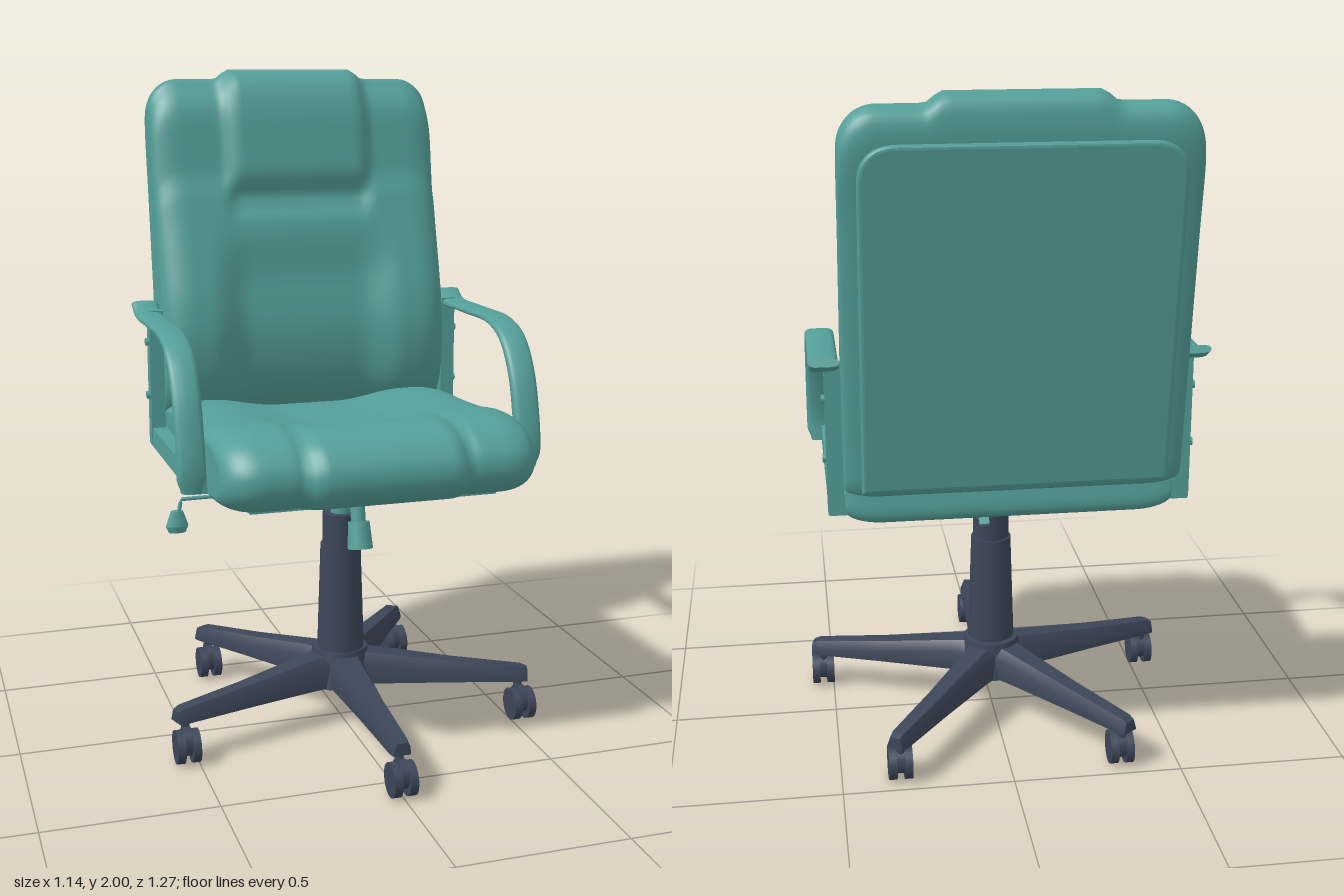
import * as THREE from 'three';
import { toCreasedNormals } from 'three/addons/utils/BufferGeometryUtils.js';

const V = (x, y, z) => new THREE.Vector3(x, y, z);
const smooth = THREE.MathUtils.smoothstep;

// Skin over a row of closed cross-sections, capped at both ends, faces turned outward
function loft(sections, crease) {
  const n = sections[0].length, pos = [], idx = [];
  sections.forEach(s => s.forEach(p => pos.push(p.x, p.y, p.z)));
  for (let i = 0; i < sections.length - 1; i++) for (let j = 0; j < n; j++) {
    const a = i * n + j, b = i * n + (j + 1) % n;
    idx.push(a, b, a + n, b, b + n, a + n);
  }
  [0, sections.length - 1].forEach((s, e) => {
    const c = sections[s].reduce((m, p) => m.add(p), V(0, 0, 0)).divideScalar(n);
    const ci = pos.length / 3;
    pos.push(c.x, c.y, c.z);
    for (let j = 0; j < n; j++) {
      const a = s * n + j, b = s * n + (j + 1) % n;
      if (e) idx.push(ci, a, b); else idx.push(ci, b, a);
    }
  });
  const at = i => V(pos[i * 3], pos[i * 3 + 1], pos[i * 3 + 2]);
  let volume = 0;
  for (let i = 0; i < idx.length; i += 3) volume += at(idx[i]).dot(at(idx[i + 1]).cross(at(idx[i + 2])));
  if (volume < 0) idx.reverse();
  const g = new THREE.BufferGeometry();
  g.setAttribute('position', new THREE.Float32BufferAttribute(pos, 3));
  g.setIndex(idx);
  g.computeVertexNormals();
  return crease ? toCreasedNormals(g, crease) : g;
}

// Cushion: a (z, y) side profile swept across x; k rises from 0 to 1 at the rounded ends
function cushion(profile, halfWidth, radius, shape) {
  const loop = new THREE.CatmullRomCurve3(profile.map(([z, y]) => V(0, y, z)), true, 'centripetal').getPoints(80).slice(0, -1);
  const sections = [];
  for (let i = 0; i <= 64; i++) {
    const x = halfWidth * Math.sin((i / 32 - 1) * Math.PI / 2);
    const t = Math.max(0, (Math.abs(x) - halfWidth + radius) / radius);
    const k = 1 - Math.sqrt(Math.max(0, 1 - t * t));
    sections.push(loop.map(p => shape(x, p.y, p.z, k)));
  }
  return loft(sections);
}

export function createModel() {
  const group = new THREE.Group();
  const teal = new THREE.MeshStandardMaterial({ color: 0x549f99 });
  teal.name = 'teal upholstery';
  const dark = new THREE.MeshStandardMaterial({ color: 0x3c4658 });
  dark.name = 'dark base';
  const add = (name, geo, mat, x = 0, y = 0, z = 0, parent = group) => {
    const m = new THREE.Mesh(geo, mat);
    m.name = name;
    m.position.set(x, y, z);
    parent.add(m);
    return m;
  };
  const cyl = (rt, rb, h, n = 20) => new THREE.CylinderGeometry(rt, rb, h, n);

  // Seat with a raised centre panel at the front and a shallow dish
  const seat = [[-0.41, 0.8], [0.1, 0.8], [0.38, 0.8], [0.46, 0.82], [0.505, 0.87], [0.505, 0.93], [0.46, 0.985], [0.38, 1.015],
    [0.26, 1.02], [0.1, 1.0], [-0.1, 0.985], [-0.3, 0.975], [-0.395, 0.95], [-0.415, 0.88]];
  add('seat', cushion(seat, 0.465, 0.11, (x, y, z, k) => {
    const ax = Math.abs(x), side = smooth(ax, 0.21, 0.25), top = smooth(y, 0.86, 0.97);
    const front = smooth(z, 0.05, 0.4);
    const groove = Math.exp(-(((ax - 0.23) / 0.02) ** 2)) * front;
    let zz = z - 0.028 * side * front - 0.012 * groove;
    let yy = y - top * (0.012 * groove + 0.03 * (1 - smooth(ax, 0.1, 0.33)) * (1 - front));
    zz = -0.3 + (zz + 0.3) * (1 - 0.12 * k);
    yy = 0.89 + (yy - 0.89) * (1 - 0.4 * k);
    return V(x, yy, zz);
  }), teal);
  add('seatPan', new THREE.BoxGeometry(0.74, 0.02, 0.7), teal, 0, 0.797, 0);

  // Backrest with side bolsters and a headrest pad
  const back = [[-0.45, 0.9], [-0.485, 0.91], [-0.512, 1.05], [-0.552, 1.35], [-0.6, 1.7], [-0.63, 1.9], [-0.615, 1.965],
    [-0.56, 1.985], [-0.5, 1.95], [-0.46, 1.88], [-0.435, 1.75], [-0.41, 1.6], [-0.355, 1.42], [-0.315, 1.28],
    [-0.302, 1.15], [-0.33, 1.0], [-0.4, 0.91]];
  add('backrest', cushion(back, 0.468, 0.1, (x, y, z, k) => {
    const ax = Math.abs(x), middle = 1 - smooth(ax, 0.2, 0.25);
    const zc = -0.43 - (y - 0.9) * 0.115;
    const front = smooth(z - zc, 0, 0.05);
    const dish = 0.045 * (1 - smooth(ax, 0.18, 0.32)) * (1 - smooth(y, 1.3, 1.55));
    const head = smooth(y, 1.6, 1.68);
    const fold = 0.025 * middle * Math.exp(-(((y - 1.6) / 0.04) ** 2));
    let zz = z + front * (0.012 * middle * head - 0.018 * (1 - middle) * head - dish - fold);
    let yy = y + smooth(y, 1.85, 1.97) * (0.015 * middle - 0.015 * (1 - middle));
    zz = zc + (zz - zc) * (1 - 0.4 * k);
    yy = 1.1 + (yy - 1.1) * (1 - 0.12 * k);
    return V(x, yy, zz);
  }), teal);

  // Rear cover panel, tilted with the backrest
  const w = 0.41, h = 0.47, r = 0.09;
  const cover = new THREE.Shape();
  cover.moveTo(-w, -h);
  cover.lineTo(w, -h);
  cover.lineTo(w, h - r);
  cover.quadraticCurveTo(w, h, w - r, h);
  cover.lineTo(-w + r, h);
  cover.quadraticCurveTo(-w, h, -w, h - r);
  cover.closePath();
  const coverGeo = new THREE.ExtrudeGeometry(cover, { depth: 0.02, bevelSize: 0.012, bevelThickness: 0.01, bevelSegments: 3 });
  add('backCover', coverGeo, teal, 0, 1.4, -0.565).rotation.x = -0.137;

  // Armrests: a wide curved band, rear post and lower rail
  const armPath = new THREE.CatmullRomCurve3([V(0, 1.275, -0.435), V(0, 1.25, -0.39), V(0, 1.245, -0.2), V(0, 1.24, 0.02),
    V(0, 1.2, 0.12), V(0, 1.11, 0.19), V(0, 0.99, 0.23), V(0, 0.9, 0.245), V(0, 0.835, 0.24)]);
  const bands = [];
  for (let i = 0; i <= 40; i++) {
    const t = i / 40, p = armPath.getPoint(t), d = armPath.getTangent(t);
    const thick = 0.012 + 0.009 * smooth(t, 0.3, 0.8), half = 0.042 - 0.012 * smooth(t, 0.92, 1);
    const ring = [];
    for (let j = 0; j < 16; j++) {
      const a = j / 16 * Math.PI * 2, c = Math.cos(a), s = Math.sin(a) * thick;
      ring.push(V(half * Math.sign(c) * Math.sqrt(Math.abs(c)), p.y + d.z * s, p.z - d.y * s));
    }
    bands.push(ring);
  }
  const bandGeo = loft(bands, 0.9);
  for (const side of [1, -1]) {
    const arm = new THREE.Group();
    arm.name = side > 0 ? 'leftArm' : 'rightArm';
    group.add(arm);
    add('armBand', bandGeo, teal, side * 0.512, 0, 0, arm);
    add('armPost', new THREE.BoxGeometry(0.045, 0.43, 0.045), teal, side * 0.49, 1.045, -0.385, arm);
    add('armRail', new THREE.BoxGeometry(0.05, 0.06, 0.64), teal, side * 0.485, 0.855, -0.085, arm);
    for (const y of [0.99, 1.16]) add('armBolt', cyl(0.012, 0.012, 0.015, 10), teal, side * 0.515, y, -0.385, arm).rotation.z = Math.PI / 2;
  }

  // Tilt mechanism under the seat
  const wedge = new THREE.Shape([[-0.3, 0.795], [-0.24, 0.77], [-0.12, 0.73], [0.08, 0.73], [0.23, 0.795]].map(p => new THREE.Vector2(...p)));
  const wedgeGeo = new THREE.ExtrudeGeometry(wedge, { depth: 0.15, bevelEnabled: false });
  wedgeGeo.rotateY(Math.PI / 2);
  add('tiltMechanism', wedgeGeo, teal, -0.075, 0, 0);
  for (const z of [0.18, -0.15]) add('mountBar', new THREE.BoxGeometry(0.37, 0.022, 0.05), teal, 0.005, 0.785, z);
  add('tensionNeck', cyl(0.022, 0.022, 0.1), teal, 0, 0.72, 0.18).rotation.x = -0.2;
  add('tensionKnob', cyl(0.032, 0.038, 0.08), teal, 0, 0.65, 0.198).rotation.x = -0.2;
  add('rearTab', new THREE.BoxGeometry(0.03, 0.1, 0.012), teal, 0.04, 0.7, -0.105).rotation.x = 0.85;

  // Height lever with paddle
  const rod = new THREE.CurvePath();
  rod.add(new THREE.LineCurve3(V(0, 0.765, 0.04), V(-0.505, 0.762, 0.05)));
  rod.add(new THREE.LineCurve3(V(-0.505, 0.762, 0.05), V(-0.515, 0.71, 0.05)));
  add('leverRod', new THREE.TubeGeometry(rod, 40, 0.006, 8), teal);
  add('leverPaddle', cyl(0.018, 0.034, 0.045, 12), teal, -0.518, 0.705, 0.05).scale.z = 0.6;
  add('leverPaddleEnd', cyl(0.034, 0.026, 0.02, 12), teal, -0.518, 0.673, 0.05).scale.z = 0.6;

  // Column
  add('columnStem', cyl(0.032, 0.032, 0.08), teal, 0, 0.7, 0.01);
  add('upperColumn', cyl(0.056, 0.056, 0.11), dark, 0, 0.615, 0.01);
  add('lowerColumn', cyl(0.062, 0.074, 0.37), dark, 0, 0.385, 0.008);
  add('hub', cyl(0.085, 0.105, 0.115), dark, 0, 0.177, 0);

  // Five-legged base with twin-wheel casters
  const legGeo = loft([[0.03, 0.06, 0.225], [0.12, 0.05, 0.215], [0.35, 0.038, 0.187], [0.57, 0.031, 0.166], [0.59, 0.026, 0.158]]
    .map(([z, hw, top]) => [V(-hw, 0.122, z), V(-hw, top - 0.03, z), V(-hw * 0.6, top, z), V(hw * 0.6, top, z),
      V(hw, top - 0.03, z), V(hw, 0.122, z)]), 0.7);
  const wheelGeo = cyl(0.05, 0.05, 0.024, 24).rotateZ(Math.PI / 2);
  const hoodGeo = new THREE.CylinderGeometry(0.043, 0.043, 0.024, 16).rotateZ(Math.PI / 2);
  for (let i = 0; i < 5; i++) {
    const a = i * Math.PI * 2 / 5;
    add('baseLeg', legGeo, dark).rotation.y = a;
    const caster = new THREE.Group();
    caster.name = 'caster';
    caster.position.set(Math.sin(a) * 0.56, 0, Math.cos(a) * 0.56 + 0.025);
    group.add(caster);
    for (const s of [1, -1]) add('wheel', wheelGeo, dark, s * 0.023, 0.05, 0, caster);
    add('casterHood', hoodGeo, dark, 0, 0.064, -0.004, caster);
    add('casterStem', cyl(0.013, 0.013, 0.05, 10), dark, 0, 0.115, -0.022, caster);
  }
  return group;
}
